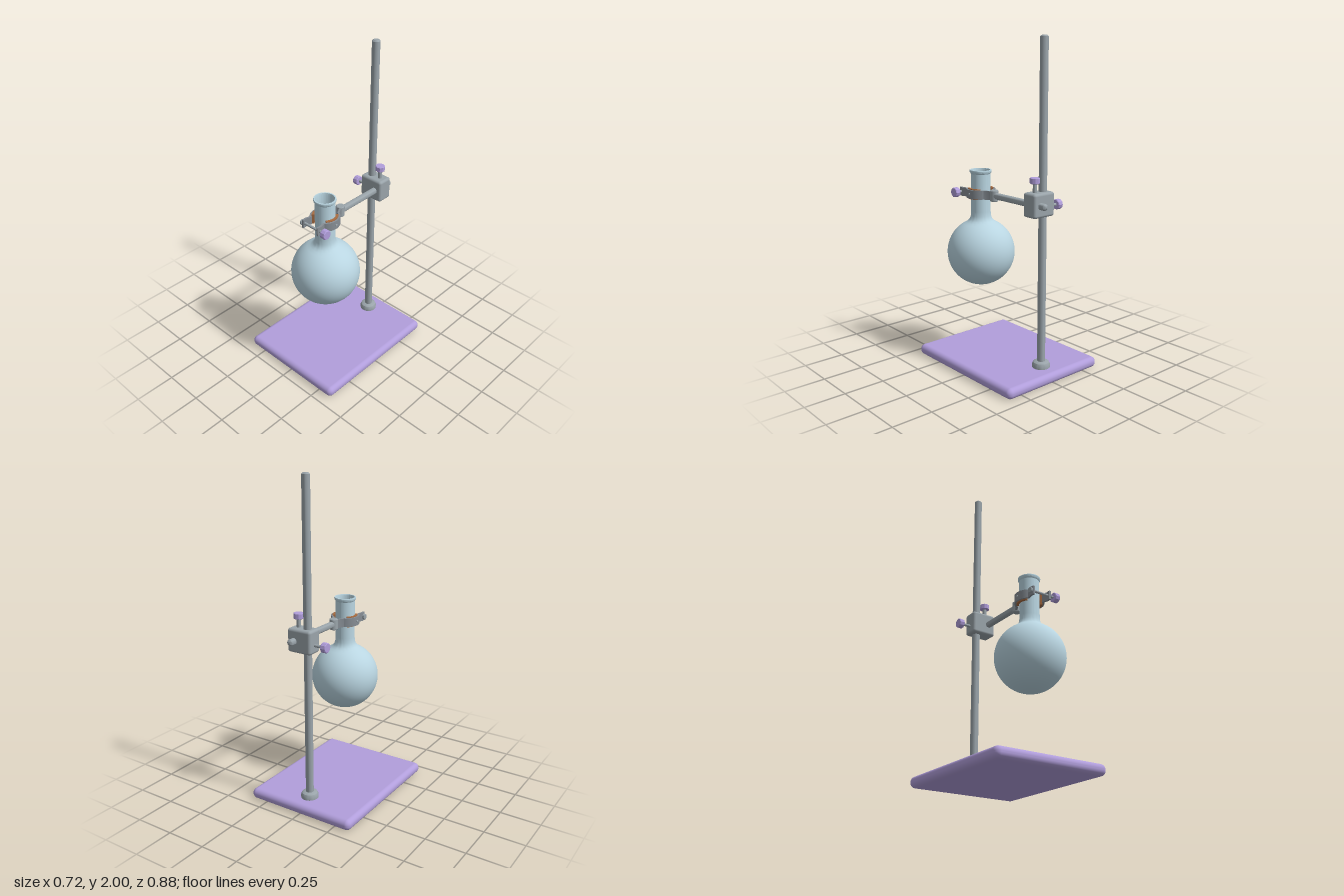
import * as THREE from 'three';
import { toCreasedNormals } from 'three/addons/utils/BufferGeometryUtils.js';
import { RoundedBoxGeometry } from 'three/addons/geometries/RoundedBoxGeometry.js';

const mat = (name, color) => Object.assign(new THREE.MeshStandardMaterial({ color }), { name });

export function createModel() {
  const purple = mat('purple paint', 0xb19edb);
  const metal = mat('grey metal', 0x9aa4aa);
  const steel = mat('dark steel', 0x878e95);
  const glass = mat('pale blue glass', 0xb9d5e1);
  const liquid = mat('amber liquid', 0xd9bc68);
  const cork = mat('cork', 0xa86c42);

  const model = new THREE.Group();
  model.name = 'retortStand';
  const add = (name, geometry, material, x = 0, y = 0, z = 0, parent = model) => {
    const mesh = new THREE.Mesh(geometry, material);
    mesh.name = name;
    mesh.position.set(x, y, z);
    parent.add(mesh);
    return mesh;
  };
  const lathe = (pts, seg = 32) =>
    toCreasedNormals(new THREE.LatheGeometry(pts.map(p => new THREE.Vector2(...p)), seg), 0.6);
  // Solid bar along y from 0 to h with small chamfers
  const bar = (r, h, b = 0.004, seg = 24) =>
    lathe([[0, 0], [r - b, 0], [r, b], [r, h - b], [r - b, h], [0, h]], seg);

  const rodZ = -0.318, armX = 0.062, armY = 1.062, flaskZ = 0.167;

  // Base plate, foot collar and upright rod
  add('base', new RoundedBoxGeometry(0.716, 0.066, 0.884, 5, 0.031), purple, 0, 0.033, 0);
  add('footCollar', lathe([[0, 0], [0.053, 0], [0.053, 0.02], [0.047, 0.033], [0.035, 0.04], [0, 0.04]]),
    metal, 0, 0.065, rodZ);
  add('rod', bar(0.024, 1.94, 0.008), metal, 0, 0.06, rodZ);

  // Boss head joining rod and arm
  add('bossHead', new RoundedBoxGeometry(0.158, 0.142, 0.1, 4, 0.016), metal, 0.03, 1.063, rodZ);

  // Arm with rounded rear end
  const arm = add('arm', lathe([[0, 0], [0.012, 0.003], [0.018, 0.009], [0.02, 0.018], [0.02, 0.45], [0, 0.45]], 24),
    metal, armX, armY, -0.415);
  arm.rotation.x = Math.PI / 2;

  // Thumb screws: shaft along y with a faceted knob at the tip
  const thumbScrew = (name, length, shaftR, knobH) => {
    const g = new THREE.Group();
    g.name = name;
    add('screwShaft', bar(shaftR, length, 0.001, 16), metal, 0, 0, 0, g);
    add('screwKnob', toCreasedNormals(bar(0.03, knobH, 0.003, 10), 0.3), purple, 0, length - 0.002, 0, g);
    model.add(g);
    return g;
  };
  thumbScrew('armScrew', 0.067, 0.012, 0.034).position.set(armX, 1.12, rodZ);
  const rodScrew = thumbScrew('rodScrew', 0.07, 0.009, 0.034);
  rodScrew.position.set(-0.034, 1.043, rodZ);
  rodScrew.rotation.z = Math.PI / 2;
  const clampScrew = thumbScrew('clampScrew', 0.173, 0.008, 0.034);
  clampScrew.position.set(-0.018, armY, 0.277);
  clampScrew.rotation.z = -Math.PI / 2;
  const nut = add('clampNut', bar(0.018, 0.014, 0.002, 16), metal, -0.005, armY, 0.277);
  nut.rotation.z = Math.PI / 2;

  // Clamp hub at the end of the arm
  add('clampHub', bar(0.026, 0.068), metal, armX, armY - 0.034, 0.037);

  // Upright strip of given thickness following a path in the xz plane
  const strip = (path, thick, height) => {
    const left = [], right = [];
    path.forEach((p, i) => {
      const a = path[Math.max(i - 1, 0)], b = path[Math.min(i + 1, path.length - 1)];
      const t = b.clone().sub(a).normalize().multiplyScalar(thick / 2);
      left.push(new THREE.Vector2(p.x - t.y, p.y + t.x));
      right.unshift(new THREE.Vector2(p.x + t.y, p.y - t.x));
    });
    const g = new THREE.ExtrudeGeometry(new THREE.Shape([...left, ...right]), { depth: height, bevelEnabled: false });
    g.rotateX(Math.PI / 2).translate(0, height / 2, 0);
    return toCreasedNormals(g, 0.5);
  };
  const arc = (side, r, from, to, n = 14) => Array.from({ length: n + 1 }, (_, i) => {
    const a = THREE.MathUtils.degToRad(from + (to - from) * i / n);
    return new THREE.Vector2(side * r * Math.cos(a), r * Math.sin(a));
  });

  // Jaws, cork pads and rivets, mirrored about the neck
  for (const side of [-1, 1]) {
    const label = side > 0 ? 'left' : 'right';
    const v = (x, z) => new THREE.Vector2(side * x, z - flaskZ);
    const jaw = [v(0.014, 0.05), v(0.019, 0.063), ...arc(side, 0.083, -64, 50),
      v(0.055, 0.246), v(0.061, 0.265), v(0.058, 0.292)];
    add(label + 'Jaw', strip(jaw, 0.012, 0.054), steel, armX, armY, flaskZ);
    add(label + 'CorkPad', strip(arc(side, 0.07, -48, 42), 0.016, 0.064), cork, armX, armY, flaskZ);
    const rivet = add(label + 'Rivet', bar(0.008, 0.014, 0.002, 12), metal, armX + side * 0.079, armY, flaskZ);
    rivet.rotation.z = -side * Math.PI / 2;
  }

  // Round-bottomed flask: hollow wall with an outer and an inner surface
  const ballY = 0.692;
  const ball = (r, from, to, n) => Array.from({ length: n + 1 }, (_, i) => {
    const a = from + (to - from) * i / n;
    return [Math.max(0, r * Math.cos(a)), ballY + r * Math.sin(a)];
  });
  const outer = [...ball(0.209, -Math.PI / 2, 1.12, 28), [0.078, 0.89], [0.068, 0.902], [0.062, 0.922],
    [0.06, 0.95], [0.06, 1.182], [0.066, 1.19], [0.068, 1.198], [0.066, 1.205]];
  const inner = [[0.058, 1.205], [0.055, 1.19], [0.055, 0.9], ...ball(0.202, 1.25, -Math.PI / 2, 28)];
  add('flask', lathe([...outer, ...inner], 56), glass, armX, 0, flaskZ);

  // Liquid filling the lower half of the bulb
  add('liquid', lathe([...ball(0.199, -Math.PI / 2, 0, 16), [0, ballY]], 48), liquid, armX, 0, flaskZ);

  return model;
}
